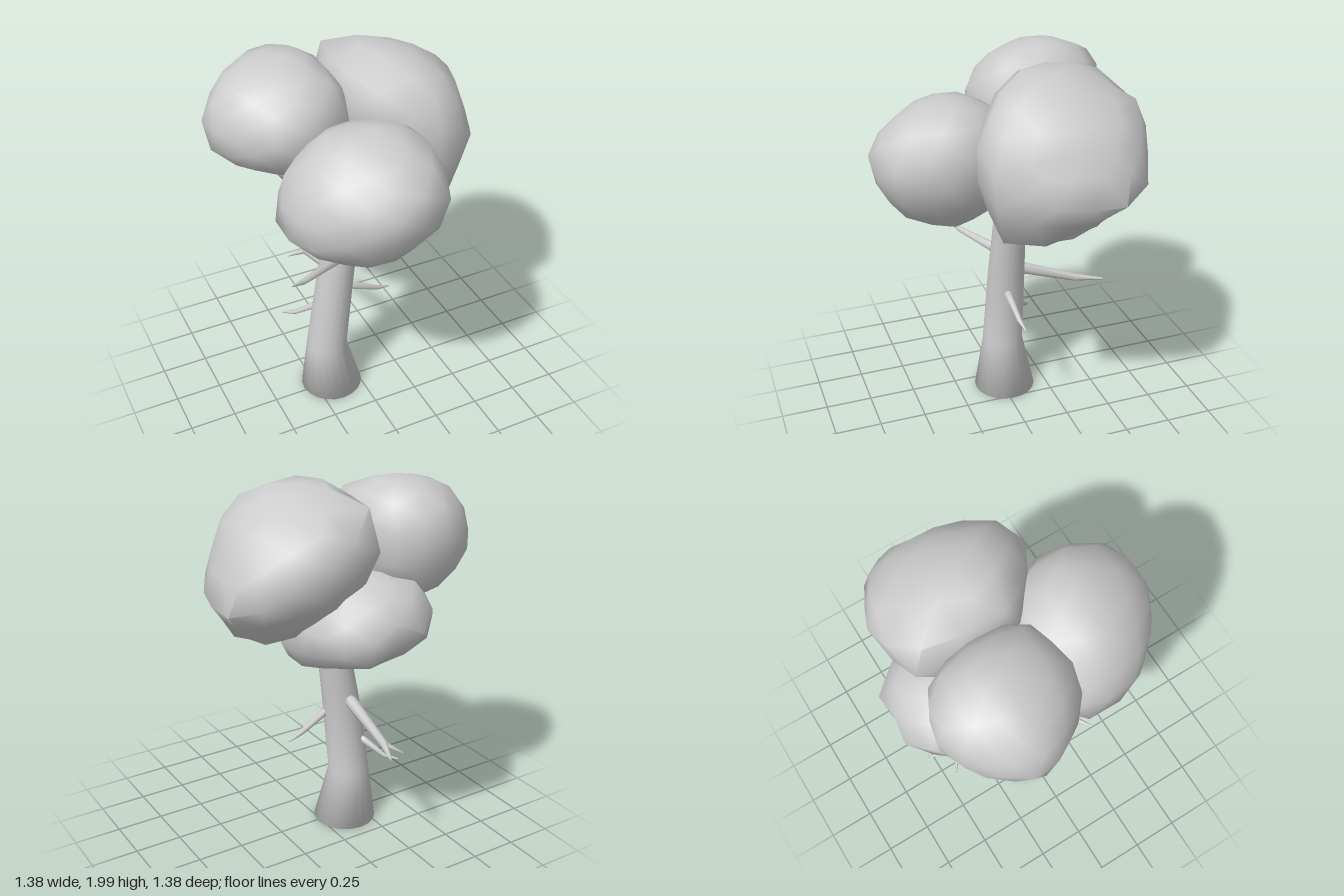
import * as THREE from 'three';
import { toCreasedNormals } from 'three/addons/utils/BufferGeometryUtils.js';

const material = new THREE.MeshStandardMaterial({ color: 0xcccccc });
const UP = new THREE.Vector3(0, 1, 0);

function addMesh(group, name, geometry, crease) {
  const mesh = new THREE.Mesh(toCreasedNormals(geometry, crease), material);
  mesh.name = name;
  group.add(mesh);
}

// Tapered limb through rings of [x, y, z, radius]; level keeps rings horizontal
function limb(rings, sides, level = false) {
  const n = rings.length;
  const centers = rings.map(([x, y, z]) => new THREE.Vector3(x, y, z));
  const turns = centers.map((_, i) => {
    const along = centers[Math.min(i + 1, n - 1)].clone().sub(centers[Math.max(i - 1, 0)]).normalize();
    return new THREE.Quaternion().setFromUnitVectors(UP, level ? UP : along);
  });
  const geometry = new THREE.CylinderGeometry(1, 1, 1, sides, n - 1);
  const pos = geometry.attributes.position;
  const v = new THREE.Vector3();
  for (let k = 0; k < pos.count; k++) {
    v.fromBufferAttribute(pos, k);
    const i = Math.round((v.y + 0.5) * (n - 1));
    v.setY(0).multiplyScalar(rings[i][3]).applyQuaternion(turns[i]).add(centers[i]);
    pos.setXYZ(k, v.x, v.y, v.z);
  }
  return geometry;
}

// Squared length of (u, v), measured in units of a convex outline around (cu, cv)
function gauge(outline, cu, cv, u, v) {
  const ratios = outline.map(([au, av], i) => {
    const [bu, bv] = outline[(i + 1) % outline.length];
    const nu = bv - av, nv = au - bu;
    return (nu * u + nv * v) / (nu * (au - cu) + nv * (av - cv));
  });
  return Math.max(...ratios) ** 2;
}

// Rounded mass blended from its front (x, y), side (z, y) and top (x, z) outlines
function crown({ center: [cx, cy, cz], swell, front, side, top }) {
  const geometry = new THREE.IcosahedronGeometry(1, 2);
  const pos = geometry.attributes.position;
  const measure = (x, y, z) => [
    gauge(front, cx, cy, x, y), gauge(side, cz, cy, z, y), gauge(top, cx, cz, x, z),
  ].reduce((a, b) => a + b);
  for (let k = 0; k < pos.count; k++) {
    const x = pos.getX(k), y = pos.getY(k), z = pos.getZ(k);
    const axes = (measure(x, 0, 0) + measure(0, y, 0) + measure(0, 0, z)) / 2;
    const r = swell / Math.sqrt(measure(x, y, z) - axes);
    pos.setXYZ(k, cx + x * r, cy + y * r, cz + z * r);
  }
  return geometry;
}

const foliage = {
  frontFoliage: {
    center: [-0.12, 1.46, 0.31], swell: 1.03,
    front: [[-0.49, 1.41], [-0.42, 1.62], [-0.27, 1.76], [-0.06, 1.8], [0.12, 1.77], [0.24, 1.66],
      [0.25, 1.51], [0.21, 1.34], [0.06, 1.18], [-0.13, 1.1], [-0.32, 1.16], [-0.48, 1.31]],
    side: [[0.71, 1.52], [0.64, 1.64], [0.49, 1.75], [0.3, 1.8], [0.1, 1.76], [-0.03, 1.63],
      [-0.08, 1.45], [-0.03, 1.28], [0.1, 1.15], [0.31, 1.1], [0.52, 1.17], [0.65, 1.34]],
    top: [[-0.5, 0.16], [-0.47, 0.42], [-0.29, 0.615], [-0.05, 0.69], [0.15, 0.61],
      [0.25, 0.42], [0.24, 0.26], [0.15, 0.05], [-0.1, -0.08], [-0.35, -0.02]],
  },
  rightFoliage: {
    center: [-0.335, 1.69, -0.235], swell: 1.02,
    front: [[-0.71, 1.63], [-0.61, 1.87], [-0.45, 1.95], [-0.28, 1.98], [-0.13, 1.96], [-0.02, 1.83],
      [0, 1.65], [-0.07, 1.48], [-0.25, 1.39], [-0.42, 1.41], [-0.59, 1.48]],
    side: [[-0.59, 1.75], [-0.54, 1.89], [-0.38, 1.97], [-0.2, 1.97], [0, 1.9], [0.1, 1.78],
      [0.13, 1.62], [0.02, 1.47], [-0.2, 1.39], [-0.45, 1.43], [-0.57, 1.56]],
    top: [[-0.71, -0.26], [-0.65, -0.36], [-0.5, -0.53], [-0.3, -0.6], [-0.11, -0.51], [0, -0.28],
      [-0.01, -0.06], [-0.06, 0.04], [-0.19, 0.1], [-0.3, 0.13], [-0.5, 0.07], [-0.64, -0.11]],
  },
  leftFoliage: {
    center: [0.32, 1.605, -0.15], swell: 1,
    front: [[0.12, 1.995], [0.35, 1.96], [0.55, 1.82], [0.65, 1.6], [0.685, 1.47], [0.47, 1.21],
      [0.22, 1.24], [0.05, 1.4], [-0.05, 1.65], [-0.05, 1.9]],
    side: [[-0.1, 1.995], [-0.34, 1.92], [-0.52, 1.84], [-0.58, 1.7], [-0.55, 1.5], [-0.25, 1.25],
      [0, 1.2], [0.18, 1.26], [0.26, 1.45], [0.29, 1.63], [0.25, 1.78], [0.13, 1.93]],
    top: [[-0.05, -0.45], [0.14, -0.555], [0.37, -0.585], [0.58, -0.485], [0.685, -0.315], [0.65, -0.07],
      [0.56, 0.145], [0.44, 0.29], [0.28, 0.29], [0.13, 0.16], [-0.02, 0.01]],
  },
  backFoliage: {
    center: [0, 1.33, -0.32], swell: 1.04,
    front: [[0.31, 1.21], [0.275, 1.13], [0.15, 1.075], [0, 1.09], [-0.22, 1.18], [-0.32, 1.27],
      [-0.33, 1.4], [-0.2, 1.54], [0, 1.57], [0.2, 1.5], [0.3, 1.35]],
    side: [[-0.69, 1.33], [-0.6, 1.2], [-0.37, 1.13], [-0.165, 1.075], [0, 1.18], [0.05, 1.3],
      [0, 1.45], [-0.2, 1.55], [-0.42, 1.56], [-0.555, 1.52], [-0.64, 1.42]],
    top: [[-0.27, -0.6], [-0.1, -0.69], [0.08, -0.695], [0.23, -0.61], [0.31, -0.4],
      [0.29, -0.12], [0.16, 0.04], [-0.07, 0], [-0.25, -0.15], [-0.33, -0.4]],
  },
};

// Bare branches, each with a rounded root and a thin tip
const branches = {
  upperBranch: [[-0.118, 0.91, 0.045, 0.018], [-0.135, 0.911, 0.053, 0.027],
    [-0.37, 0.922, 0.16, 0.016], [-0.455, 0.955, 0.21, 0.004]],
  sideBranch: [[-0.045, 0.675, 0, 0.012], [-0.025, 0.663, 0, 0.021],
    [0.13, 0.585, -0.01, 0.014], [0.21, 0.56, -0.02, 0.004]],
  lowerBranch: [[-0.2, 0.51, -0.1, 0.012], [-0.21, 0.495, -0.12, 0.02],
    [-0.285, 0.417, -0.2, 0.013], [-0.345, 0.4, -0.25, 0.004]],
  backBranch: [[-0.115, 0.77, -0.09, 0.022], [-0.115, 0.755, -0.13, 0.034],
    [-0.115, 0.64, -0.43, 0.022], [-0.055, 0.635, -0.575, 0.005]],
  backTwig: [[-0.11, 0.648, -0.41, 0.014], [-0.15, 0.62, -0.45, 0.012], [-0.2, 0.588, -0.485, 0.003]],
  topBranch: [[-0.1, 1.2, 0.02, 0.022], [-0.25, 1.185, 0.08, 0.015], [-0.335, 1.18, 0.14, 0.004]],
};

export function createModel() {
  const tree = new THREE.Group();
  tree.name = 'tree';

  // Leaning trunk with a flared foot
  addMesh(tree, 'trunk', limb([
    [-0.15, 0, -0.02, 0.17],
    [-0.175, 0.3, -0.018, 0.112],
    [-0.115, 0.75, -0.02, 0.1],
    [-0.05, 1.15, -0.02, 0.083],
    [0, 1.4, -0.02, 0.07],
  ], 20, true), 2);

  for (const [name, rings] of Object.entries(branches)) addMesh(tree, name, limb(rings, 8), 1.2);
  for (const [name, outlines] of Object.entries(foliage)) addMesh(tree, name, crown(outlines), 1.2);
  return tree;
}
